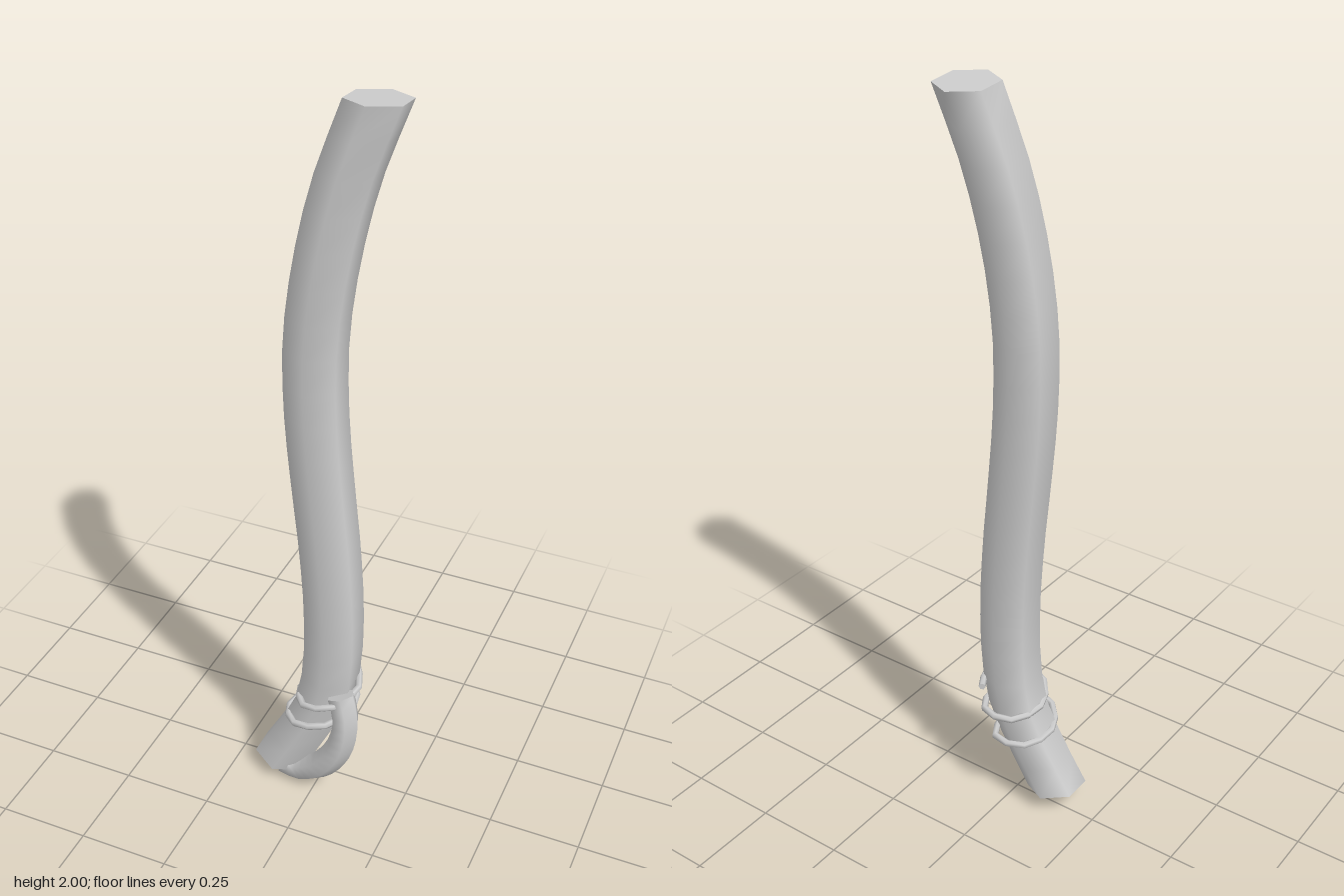
import * as THREE from 'three';

const V = (p) => new THREE.Vector3(...p);
const curve = (pts) => new THREE.CatmullRomCurve3(pts.map(V));

// Smooth skin through closed rings (counterclockwise round the path), with flat end caps
function loft(rings) {
  const n = rings[0].length, pos = [], idx = [];
  rings.forEach((r) => r.forEach((p) => pos.push(p.x, p.y, p.z)));
  for (let i = 0; i < rings.length - 1; i++) {
    for (let j = 0; j < n; j++) {
      const a = i * n + j, b = i * n + (j + 1) % n;
      idx.push(a, b, b + n, a, b + n, a + n);
    }
  }
  [rings[0].slice().reverse(), rings[rings.length - 1]].forEach((r) => {
    const s = pos.length / 3;
    r.forEach((p) => pos.push(p.x, p.y, p.z));
    for (let j = 1; j < n - 1; j++) idx.push(s, s + j, s + j + 1);
  });
  const g = new THREE.BufferGeometry();
  g.setAttribute('position', new THREE.Float32BufferAttribute(pos, 3));
  g.setIndex(idx);
  g.computeVertexNormals();
  return g;
}

// Capped round tube along a curve
function cord(path, segments, radius, sides) {
  const p = new THREE.TubeGeometry(path, segments, radius, sides).attributes.position;
  const rings = [];
  for (let i = 0; i <= segments; i++) {
    const ring = [];
    for (let j = sides - 1; j >= 0; j--) {
      ring.push(new THREE.Vector3().fromBufferAttribute(p, i * (sides + 1) + j));
    }
    rings.push(ring);
  }
  return loft(rings);
}

export function createModel() {
  const group = new THREE.Group();
  const grey = new THREE.MeshStandardMaterial({ color: 0xcccccc });
  grey.name = 'light grey';
  const add = (name, geometry) => {
    const mesh = new THREE.Mesh(geometry, grey);
    mesh.name = name;
    group.add(mesh);
  };

  // Main rope: six-sided sections that stay almost level along the bend
  const spine = curve([
    [-0.115, 0.05, 0.025], [-0.035, 0.2, 0.014], [0.008, 0.3, 0.01], [0.028, 0.42, 0.01],
    [0.032, 0.6, 0.01], [0.02, 0.8, 0.01], [0, 1, 0.01], [-0.016, 1.2, 0.01],
    [-0.018, 1.4, 0.007], [0.005, 1.6, 0], [0.046, 1.8, -0.018], [0.11, 1.992, -0.04],
  ]);
  const rings = [];
  for (let i = 0; i <= 22; i++) {
    const t = i / 22, c = spine.getPointAt(t), ring = [];
    const tiltX = -0.19 * Math.max(0, 1 - t * 5), tiltZ = 0.09 * Math.max(0, t * 3 - 2);
    for (let j = 0; j < 6; j++) {
      const a = j * Math.PI / 3, x = 0.08 * Math.sin(a), z = 0.08 * Math.cos(a);
      ring.push(new THREE.Vector3(c.x + x, c.y + x * tiltX + z * tiltZ, c.z + z));
    }
    rings.push(ring);
  }
  add('rope', loft(rings));

  // Thinner tail curling from the foot of the rope up its side
  add('curledTail', cord(curve([
    [-0.1, 0.047, 0.05], [-0.05, 0.043, 0.055], [-0.005, 0.07, 0.067], [0.035, 0.11, 0.077],
    [0.077, 0.18, 0.081], [0.094, 0.25, 0.079], [0.092, 0.31, 0.072], [0.075, 0.36, 0.062],
  ]), 14, 0.039, 6));

  // Binding wire wound a little over two turns round the rope
  const wire = [];
  for (let i = 0; i <= 13; i++) {
    const a = i * Math.PI / 3, y = 0.213 + 0.0122 * i + 0.01 * (Math.cos(a) - 1);
    const cx = Math.min(0.024, -0.028 + (y - 0.2) * 0.45);
    wire.push([cx + 0.083 * Math.cos(a), y, 0.012 - 0.1 * Math.sin(a)]);
  }
  add('bindingWire', cord(curve(wire), 26, 0.0095, 6));

  return group;
}
